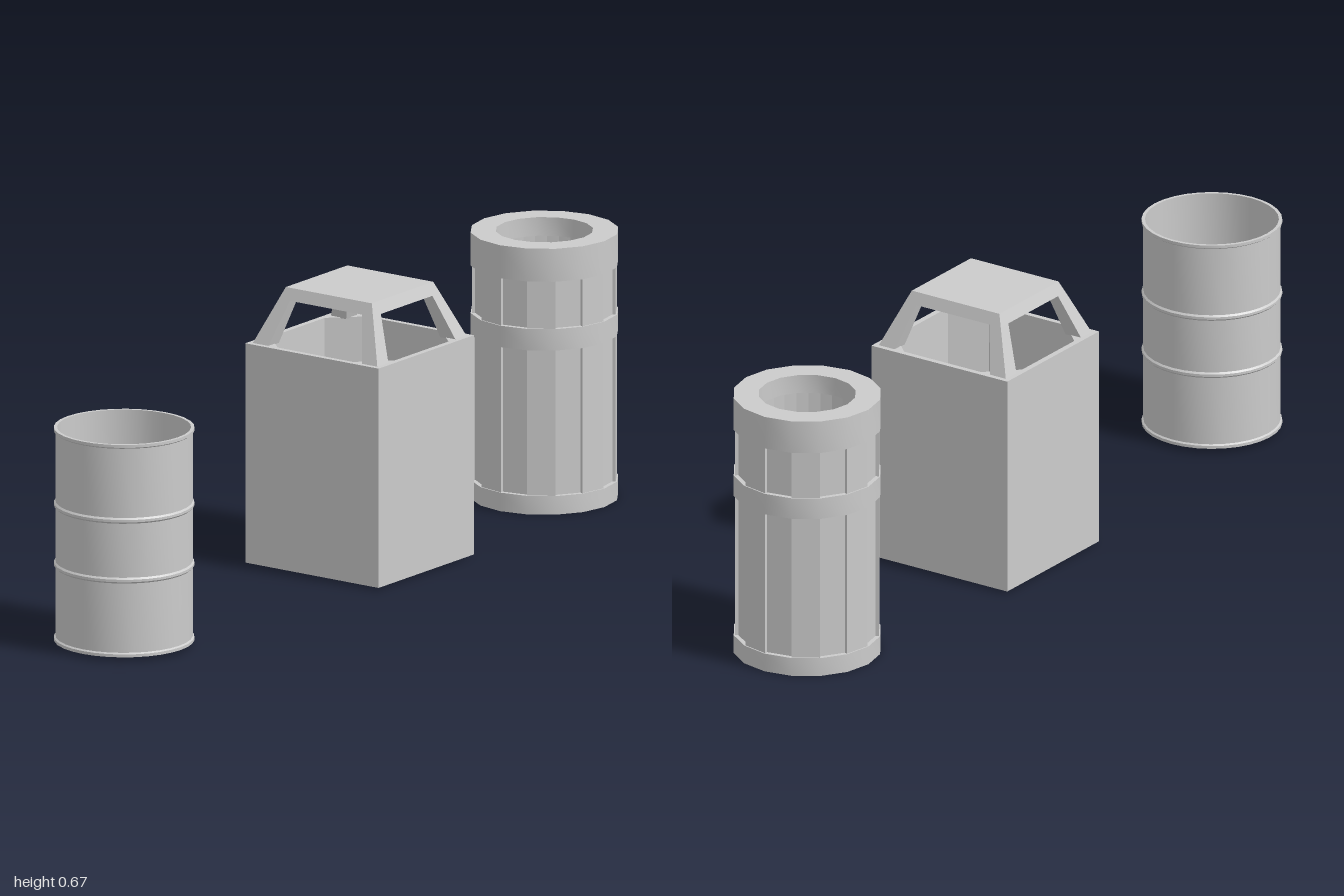
import * as THREE from 'three';
import { toCreasedNormals } from 'three/addons/utils/BufferGeometryUtils.js';

const material = new THREE.MeshStandardMaterial({ color: 0xcccccc, side: THREE.DoubleSide });

function part(name, geometry, parent) {
  const mesh = new THREE.Mesh(geometry, material);
  mesh.name = name;
  parent.add(mesh);
  return mesh;
}

function group(name, x, parent) {
  const g = new THREE.Group();
  g.name = name;
  g.position.x = x;
  parent.add(g);
  return g;
}

// Revolved profile of [radius, height] pairs
function turned(points, sides) {
  const profile = points.map(([r, y]) => new THREE.Vector2(r, y));
  return toCreasedNormals(new THREE.LatheGeometry(profile, sides), 0.6);
}

// Plan outline (x, -z) raised from y0 to y1
function raised(shape, y0, y1) {
  const g = new THREE.ExtrudeGeometry(shape, { depth: y1 - y0, bevelEnabled: false, curveSegments: 16 });
  return g.rotateX(-Math.PI / 2).translate(0, y0, 0);
}

// Box with separate [min, max] extents (used on x and z) at its bottom and top
function tapered(bottom, top, y0, y1) {
  const g = new THREE.BoxGeometry(1, 1, 1);
  const p = g.attributes.position;
  for (let i = 0; i < p.count; i++) {
    const up = p.getY(i) > 0;
    const span = up ? top : bottom;
    p.setXYZ(i, span[p.getX(i) > 0 ? 1 : 0], up ? y1 : y0, span[p.getZ(i) > 0 ? 1 : 0]);
  }
  const flat = g.toNonIndexed();
  flat.computeVertexNormals();
  return flat;
}

function createBarrel(parent) {
  const barrel = group('barrel', -0.835, parent);
  const ridge = (y) => [[0.161, y - 0.007], [0.165, y - 0.003], [0.165, y + 0.003], [0.161, y + 0.007]];
  part('barrelShell', turned([
    [0, 0.014], [0.157, 0.014], [0.159, 0.01], [0.165, 0.01], [0.165, 0.017], [0.161, 0.02],
    ...ridge(0.195), ...ridge(0.34),
    [0.161, 0.515], [0.165, 0.518], [0.165, 0.525], [0.157, 0.525],
    [0.157, 0.025], [0, 0.025],
  ], 32), barrel);
}

function createHoodedBin(parent) {
  const bin = group('hoodedBin', 0.095, parent);
  bin.scale.x = 0.97;

  // Square sleeve, open at both ends, with cut inner corners
  const o = 0.194, h = 0.18, c = h - 0.07;
  const plan = new THREE.Shape([[-o, -o], [o, -o], [o, o], [-o, o]].map(([x, y]) => new THREE.Vector2(x, y)));
  const opening = [[h, -c], [h, c], [c, h], [-c, h], [-h, c], [-h, -c], [-c, -h], [c, -h]];
  plan.holes.push(new THREE.Path(opening.map(([x, y]) => new THREE.Vector2(x, y))));
  part('binSleeve', raised(plan, 0.005, 0.537), bin);

  // Four leaning posts carrying the roof
  const post = tapered([0.137, 0.182], [0.105, 0.137], 0.535, 0.642);
  for (let i = 0; i < 4; i++) part('hoodPost', post, bin).rotation.y = i * Math.PI / 2;
  part('hoodRoof', tapered([-0.137, 0.137], [-0.125, 0.125], 0.642, 0.67), bin);
}

function createSlattedCan(parent) {
  const can = group('slattedCan', 0.825, parent);
  const sides = 16;

  // Body of alternating raised and recessed staves
  const outline = [];
  for (let i = 0; i < sides; i++) {
    const r = i % 2 ? 0.172 : 0.164;
    for (const k of [i, i + 1]) {
      const a = k * 2 * Math.PI / sides;
      outline.push(new THREE.Vector2(r * Math.sin(a), -r * Math.cos(a)));
    }
  }
  const plan = new THREE.Shape(outline);
  plan.holes.push(new THREE.Path().absarc(0, 0, 0.145, 0, Math.PI * 2, true));
  part('staves', raised(plan, 0.03, 0.61), can);

  // Solid base, middle band, and thick rim with a round mouth
  const R = 0.175;
  part('base', turned([[0, 0], [R, 0], [R, 0.045], [0, 0.045]], sides), can);
  part('middleBand', turned([[0.15, 0.398], [R, 0.398], [R, 0.45], [0.15, 0.45], [0.15, 0.398]], sides), can);
  part('rim', turned([[0.15, 0.565], [R, 0.565], [R, 0.645], [0.115, 0.645],
    [0.115, 0.6], [0.15, 0.6], [0.15, 0.565]], sides), can);
}

export function createModel() {
  const model = new THREE.Group();
  model.name = 'trashCans';
  createBarrel(model);
  createHoodedBin(model);
  createSlattedCan(model);
  return model;
}
